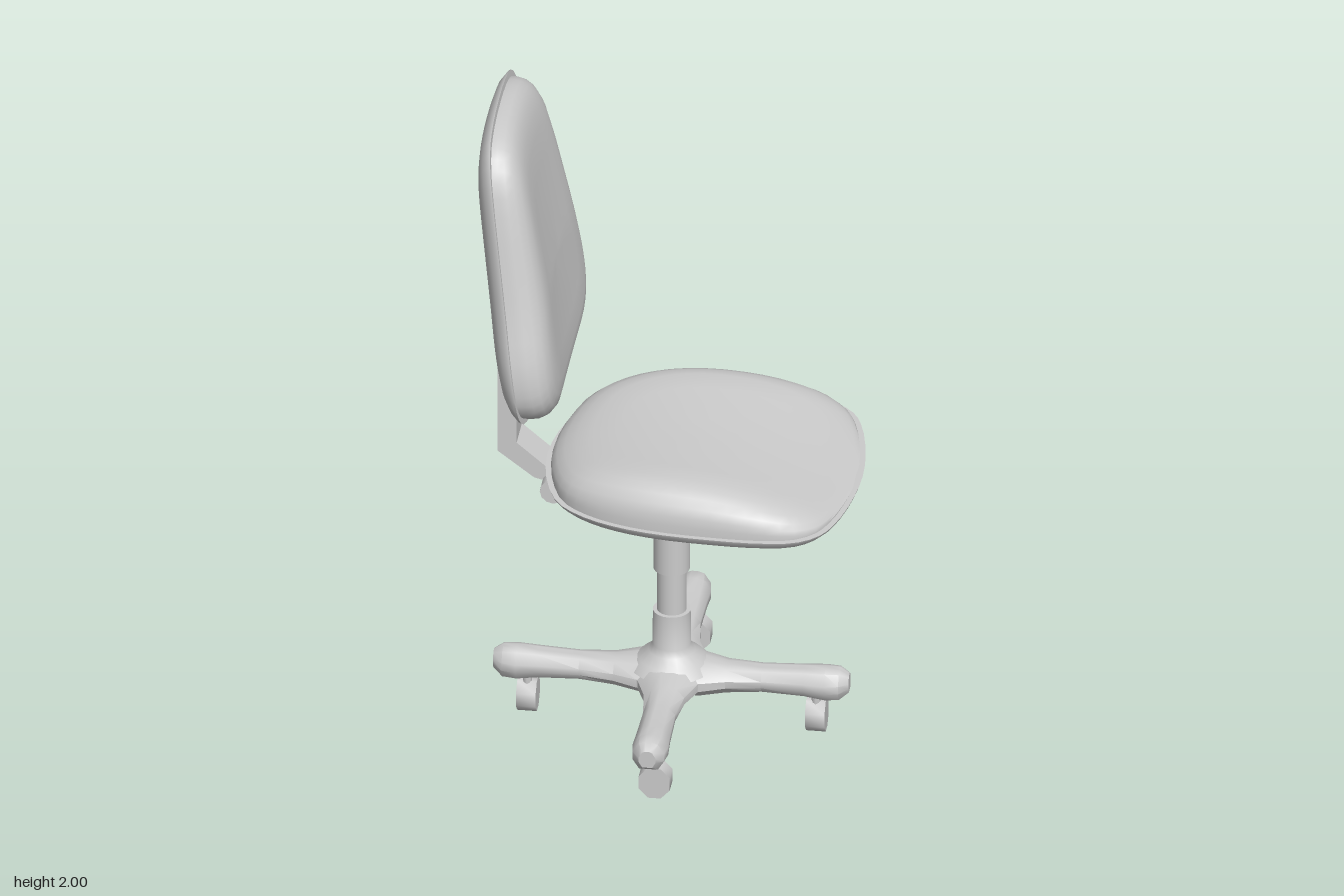
import * as THREE from 'three';
import { toCreasedNormals } from 'three/addons/utils/BufferGeometryUtils.js';

const material = new THREE.MeshStandardMaterial({ color: 0xcccccc });
const CX = -0.015; // x of the column axis

function add(parent, name, geometry, x = 0, y = 0, z = 0) {
  const mesh = new THREE.Mesh(geometry, material);
  mesh.name = name;
  mesh.position.set(x, y, z);
  parent.add(mesh);
  return mesh;
}

// Surface through rings of equal length, closed by a fan at the last ring.
function loft(rings, flip, crease = 0.7) {
  const n = rings[0].length, pos = [], idx = [];
  rings.forEach(r => r.forEach(p => pos.push(...p)));
  const tri = (a, b, c) => (flip ? idx.push(a, c, b) : idx.push(a, b, c));
  for (let i = 0; i < rings.length - 1; i++) {
    for (let j = 0; j < n; j++) {
      const a = i * n + j, b = i * n + (j + 1) % n;
      tri(a, b, a + n);
      tri(b, b + n, a + n);
    }
  }
  const last = rings[rings.length - 1], base = (rings.length - 1) * n;
  pos.push(...[0, 1, 2].map(k => last.reduce((s, p) => s + p[k], 0) / n));
  for (let j = 0; j < n; j++) tri(base + j, base + (j + 1) % n, base + n);
  const g = new THREE.BufferGeometry();
  g.setAttribute('position', new THREE.Float32BufferAttribute(pos, 3));
  g.setIndex(idx);
  return toCreasedNormals(g, crease);
}

// Closed smooth outline from one half, mirrored in its second coordinate.
function outline(half) {
  const other = half.slice(1, -1).reverse().map(([a, b]) => [a, -b]);
  const pts = [...half, ...other].map(([a, b]) => new THREE.Vector3(a, b, 0));
  return new THREE.CatmullRomCurve3(pts, true).getPoints(56).slice(0, -1);
}

// Pad surface: the outline shrinks towards its centre while place() sets the height.
function pad(line, centre, profile, place, flip) {
  const rings = profile.map(([s, t]) =>
    line.map(p => place(centre + (p.x - centre) * s, p.y * s, t)));
  return loft(rings, flip);
}

const cushion = [[0.965, 0], [0.965, 0.2], [0.957, 0.42], [0.93, 0.65], [0.88, 0.83],
  [0.81, 0.94], [0.72, 1], [0.55, 1], [0.35, 1], [0.15, 1]];
const shell = [[0.95, 0], [1, 0], [0.995, 0.1], [0.95, 0.42], [0.88, 0.68], [0.78, 0.87],
  [0.62, 1], [0.4, 1], [0.15, 1]];

function createSeat() {
  const seat = new THREE.Group();
  seat.name = 'seat';
  const line = outline([[0.53, 0], [0.52, 0.13], [0.49, 0.27], [0.455, 0.345], [0.39, 0.395],
    [0.28, 0.413], [0.15, 0.413], [0, 0.402], [-0.12, 0.377], [-0.22, 0.335], [-0.3, 0.27],
    [-0.35, 0.15], [-0.37, 0]]);
  const top = (x, z, t) => [x, 0.843 +
    t * (0.127 - 0.45 * x * x - 0.01 * Math.max(0, 1 - (z / 0.3) ** 2)), z];
  const bottom = (x, z, t) => [x, 0.843 - 0.066 * t, z];
  add(seat, 'seatCushion', pad(line, 0.08, cushion, top, true));
  add(seat, 'seatShell', pad(line, 0.08, shell, bottom, false));
  return seat;
}

function createBackrest() {
  const back = new THREE.Group();
  back.name = 'backrest';
  const line = outline([[2, 0], [1.992, 0.13], [1.965, 0.22], [1.91, 0.27], [1.82, 0.3],
    [1.65, 0.335], [1.48, 0.37], [1.35, 0.402], [1.27, 0.41], [1.2, 0.4], [1.145, 0.355],
    [1.105, 0.25], [1.09, 0.12], [1.086, 0]]);
  const rim = y => -0.385 - 0.134 * (y - 1.09);
  const front = (y, z, t) => [rim(y) + t * (0.108 - 0.05 * Math.max(0, y - 1.5)
    - 0.01 * Math.max(0, 1 - (z / 0.25) ** 2)), y, z];
  const rear = (y, z, t) => [rim(y) - 0.062 * t, y, z];
  add(back, 'backCushion', pad(line, 1.5, cushion, front, false));
  add(back, 'backShell', pad(line, 1.5, shell, rear, true));
  return back;
}

// Plate with a side profile in x and y, extruded symmetrically along z.
function sidePlate(points, width) {
  const shape = new THREE.Shape(points.map(p => new THREE.Vector2(...p)));
  return new THREE.ExtrudeGeometry(shape, { depth: width, bevelEnabled: false })
    .translate(0, 0, -width / 2);
}

function createSupport() {
  const group = new THREE.Group();
  group.name = 'support';
  add(group, 'backArm', sidePlate([[-0.505, 0.875], [-0.4, 0.795], [-0.36, 0.785], [-0.12, 0.765],
    [-0.12, 0.795], [-0.35, 0.82], [-0.45, 0.905], [-0.45, 1.36], [-0.487, 1.36], [-0.505, 1.15]], 0.11));
  add(group, 'tiltMechanism', sidePlate([[-0.11, 0.735], [0.14, 0.735], [0.19, 0.782], [-0.17, 0.782]], 0.14));
  add(group, 'tiltKnob', new THREE.CylinderGeometry(0.038, 0.038, 0.23, 12).rotateX(Math.PI / 2),
    -0.34, 0.778, -0.015);
  // Height lever with a flat paddle
  const path = new THREE.LineCurve3(new THREE.Vector3(CX, 0.76, 0), new THREE.Vector3(CX, 0.741, -0.36));
  add(group, 'heightLever', new THREE.TubeGeometry(path, 1, 0.006, 6));
  const paddle = new THREE.CylinderGeometry(0.016, 0.024, 0.09, 6).rotateX(-Math.PI / 2).scale(1, 0.35, 1);
  add(group, 'leverPaddle', paddle, CX, 0.741, -0.375);
  add(group, 'tiltLever', new THREE.CylinderGeometry(0.006, 0.006, 0.15, 6).rotateX(Math.PI / 2),
    -0.09, 0.755, 0.075);
  return group;
}

function createBase() {
  const base = new THREE.Group();
  base.name = 'base';
  base.position.x = CX;
  const tube = (name, r, y0, y1) =>
    add(base, name, new THREE.CylinderGeometry(r, r, y1 - y0, 20), 0, (y0 + y1) / 2, 0);
  tube('outerColumn', 0.052, 0.5, 0.75);
  tube('innerColumn', 0.042, 0.34, 0.52);
  const hub = [[0, 0.365], [0.054, 0.365], [0.055, 0.255], [0.066, 0.235], [0.095, 0.212], [0.12, 0.185]]
    .reverse().map(p => new THREE.Vector2(...p));
  add(base, 'hub', toCreasedNormals(new THREE.LatheGeometry(hub, 20), 0.8));

  // Leg stations: distance from the column, half width, bottom, top
  const stations = [[0, 0.1, 0.115, 0.215], [0.09, 0.085, 0.116, 0.21], [0.16, 0.058, 0.122, 0.2],
    [0.26, 0.046, 0.128, 0.197], [0.38, 0.048, 0.124, 0.203], [0.44, 0.051, 0.116, 0.207],
    [0.48, 0.045, 0.118, 0.206], [0.507, 0.024, 0.138, 0.19]];
  const section = [[1, -0.35], [1, 0.2], [0.6, 0.85], [0.2, 1], [-0.2, 1], [-0.6, 0.85],
    [-1, 0.2], [-1, -0.35], [-0.6, -1], [0.6, -1]];
  const legGeometry = loft(stations.map(([r, w, b, t]) =>
    section.map(([u, v]) => [r, (b + t) / 2 + v * (t - b) / 2, u * w])), true);

  for (let i = 0; i < 4; i++) {
    const leg = new THREE.Group();
    leg.name = 'legWithCaster';
    leg.rotation.y = i * Math.PI / 2;
    base.add(leg);
    add(leg, 'leg', legGeometry);
    // Casters all trail to the same side of their stems
    const side = i === 0 || i === 3 ? -1 : 1;
    add(leg, 'casterStem', new THREE.CylinderGeometry(0.013, 0.013, 0.07, 8), 0.412, 0.105, 0);
    const wheel = new THREE.CylinderGeometry(0.048, 0.048, 0.056, 8, 1)
      .rotateY(Math.PI / 8).rotateZ(Math.PI / 2).scale(1, 1.08, 1);
    const mesh = add(leg, 'casterWheel', toCreasedNormals(wheel, 0.9), 0.412, 0.049, side * 0.011);
    mesh.geometry.computeBoundingBox();
    mesh.position.y = -mesh.geometry.boundingBox.min.y;
  }
  return base;
}

export function createModel() {
  const chair = new THREE.Group();
  chair.name = 'officeChair';
  chair.add(createSeat(), createBackrest(), createSupport(), createBase());
  return chair;
}
